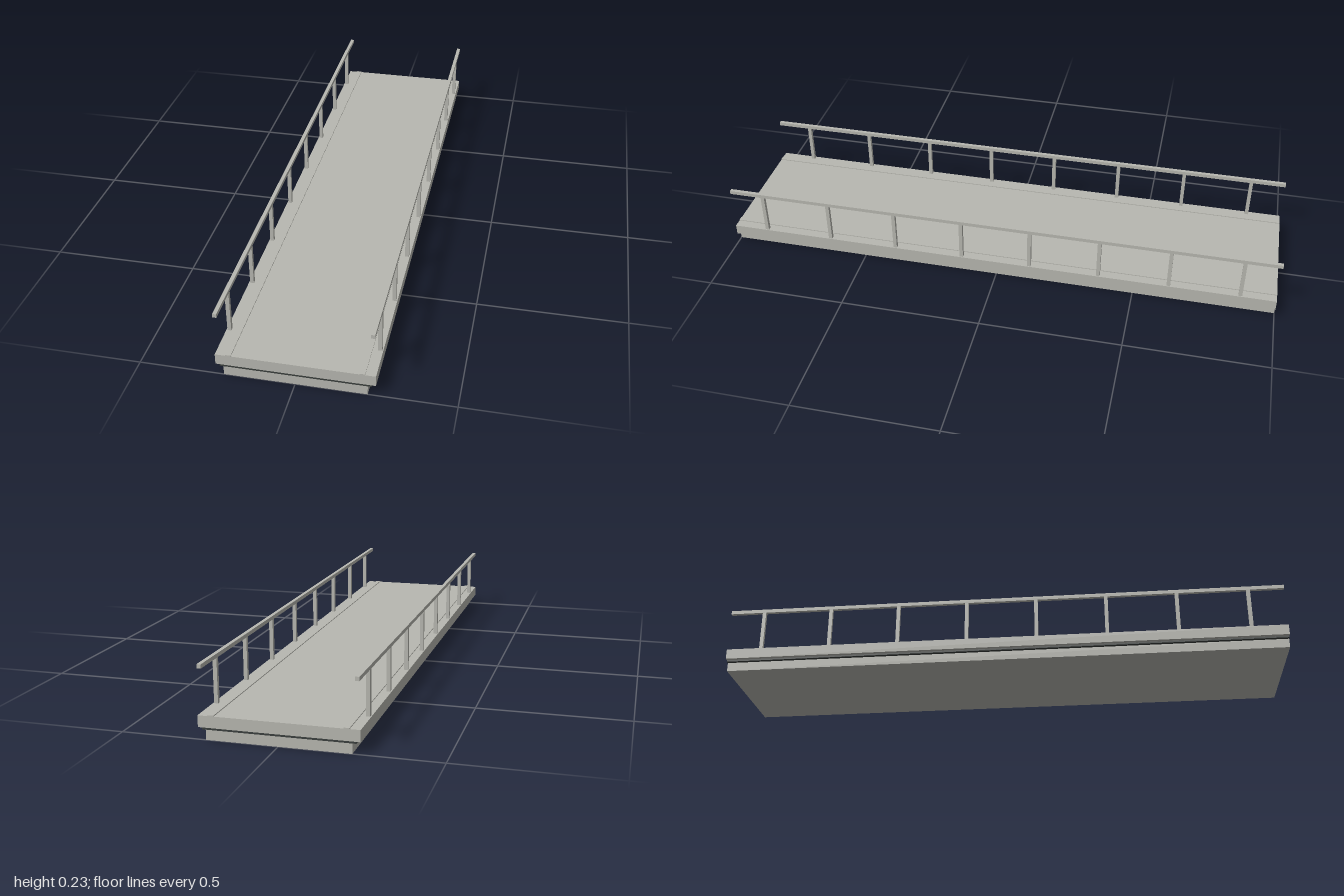
import * as THREE from 'three';

export function createModel() {
  const model = new THREE.Group();
  model.name = 'footbridge';

  const concrete = new THREE.MeshStandardMaterial({ color: 0xb8b8b1 });
  concrete.name = 'pale concrete';
  const dark = new THREE.MeshStandardMaterial({ color: 0x3a3f3d });
  dark.name = 'dark joint';

  // Box given by its centre x and z, bottom, top, width and depth
  function addBox(parent, name, material, x, z, bottom, top, width, depth) {
    const mesh = new THREE.Mesh(new THREE.BoxGeometry(width, top - bottom, depth), material);
    mesh.name = name;
    mesh.position.set(x, (bottom + top) / 2, z);
    parent.add(mesh);
  }

  // Stacked slabs of the span
  addBox(model, 'lowerSlab', concrete, 0, 0, 0, 0.032, 0.452, 2);
  addBox(model, 'jointLayer', dark, 0, 0, 0.032, 0.038, 0.476, 2);
  addBox(model, 'deck', concrete, 0, 0, 0.038, 0.075, 0.502, 2);

  // Curb strip and railing on each side
  for (const side of [-1, 1]) {
    const railing = new THREE.Group();
    railing.name = side > 0 ? 'leftRailing' : 'rightRailing';
    model.add(railing);

    addBox(model, side > 0 ? 'leftCurb' : 'rightCurb', concrete, side * 0.209, 0, 0.075, 0.078, 0.018, 2);
    addBox(railing, 'handrail', concrete, side * 0.241, 0, 0.22, 0.233, 0.013, 2);
    for (let i = 0; i < 8; i++) {
      addBox(railing, 'post', concrete, side * 0.241, -0.875 + i * 0.25, 0.075, 0.22, 0.013, 0.013);
    }
  }

  return model;
}
